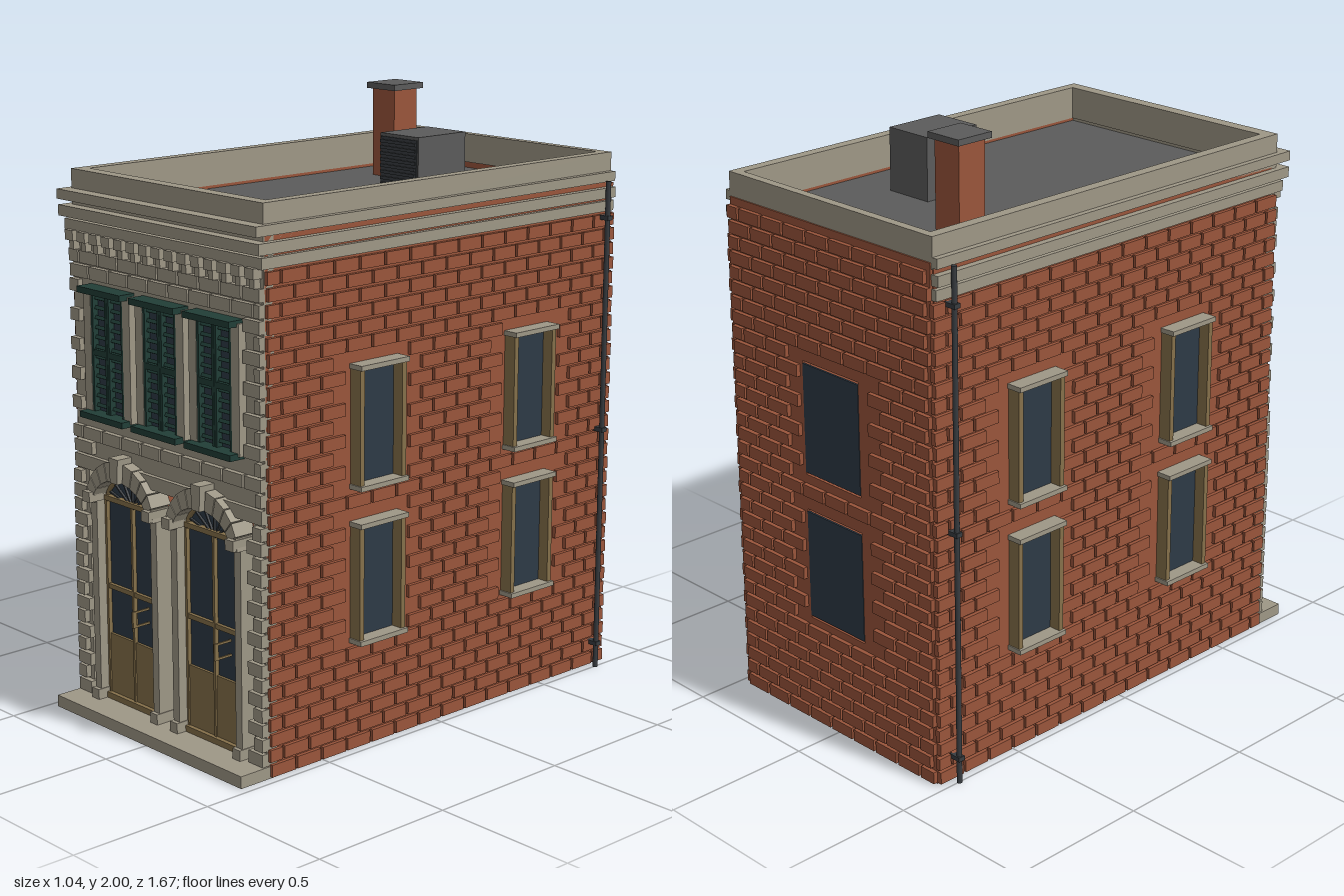
import * as THREE from 'three';
import { mergeGeometries } from 'three/addons/utils/BufferGeometryUtils.js';

const mat = (name, color, side = THREE.FrontSide) => {
  const m = new THREE.MeshStandardMaterial({ color, side });
  m.name = name;
  return m;
};

// Box geometry from minimum and maximum corners
const box = (x0, x1, y0, y1, z0, z1) =>
  new THREE.BoxGeometry(x1 - x0, y1 - y0, z1 - z0)
    .translate((x0 + x1) / 2, (y0 + y1) / 2, (z0 + z1) / 2);

// Running-bond blocks on the XY plane, leaving out those that touch a hole [x0,x1,y0,y1]
function layBlocks(x0, x1, y0, y1, length, row, gap, depth, holes = []) {
  const parts = [];
  const rows = Math.round((y1 - y0) / row);
  for (let r = 0; r < rows; r++) {
    const b = y0 + r * row + gap / 2, t = b + row - gap;
    for (let x = x0 - (r % 2) * length / 2; x < x1 - 0.01; x += length) {
      const l = Math.max(x0, x + gap / 2), e = Math.min(x1, x + length - gap / 2);
      if (e - l < 0.015) continue;
      if (holes.some(h => l < h[1] && e > h[0] && b < h[3] && t > h[2])) continue;
      parts.push(box(l, e, b, t, -0.004, depth));
    }
  }
  return mergeGeometries(parts);
}

export function createModel() {
  const M = {
    brick: mat('brick red', 0x9a553b),
    stone: mat('pale stone', 0x9e9786),
    roof: mat('roof grey', 0x5b5b5b),
    glass: mat('dark glass', 0x2d3a46, THREE.DoubleSide),
    wood: mat('tan wood', 0x85704a),
    green: mat('shutter green', 0x213e37),
    iron: mat('dark iron', 0x383c40),
  };
  const root = new THREE.Group();
  const add = (name, geos, material, parent = root) => {
    const m = new THREE.Mesh(Array.isArray(geos) ? mergeGeometries(geos) : geos, material);
    m.name = name;
    parent.add(m);
    return m;
  };

  // Floor slab and front step
  add('floor', box(-0.46, 0.46, 0, 0.03, -0.81, 0.72), M.stone);
  add('frontStep', box(-0.47, 0.47, 0, 0.04, 0.7, 0.84), M.stone);

  // Side walls, bricks, framed windows and drainpipes
  const centres = [0.28, -0.41], sills = [0.37, 0.875];
  for (const s of [1, -1]) {
    const side = s > 0 ? 'right' : 'left';
    const span = (a, b, ...rest) => s > 0 ? box(a, b, ...rest) : box(-b, -a, ...rest);
    add(side + 'Wall', span(0.43, 0.465, 0, 1.7, -0.81, 0.725), M.brick);
    const holes = [];
    const glass = [], jambs = [], ledges = [];
    for (const z of centres) for (const y of sills) {
      const u = -s * z;
      holes.push([u - 0.12, u + 0.12, y - 0.01, y + 0.39]);
      glass.push(span(0.464, 0.47, y, y + 0.38, z - 0.095, z + 0.095));
      for (const d of [-1, 1])
        jambs.push(span(0.46, 0.51, y, y + 0.38, z + d * 0.09 - 0.009, z + d * 0.09 + 0.009));
      ledges.push(span(0.46, 0.52, y - 0.01, y + 0.006, z - 0.103, z + 0.103),
        span(0.46, 0.52, y + 0.374, y + 0.39, z - 0.103, z + 0.103));
    }
    const u0 = s > 0 ? -0.725 : -0.825, u1 = s > 0 ? 0.825 : 0.725;
    const bricks = layBlocks(u0, u1, 0, 1.6, 0.107, 0.05, 0.01, 0.013, holes)
      .rotateY(s * Math.PI / 2).translate(s * 0.465, 0, 0);
    add(side + 'Bricks', bricks, M.brick);
    add(side + 'Glass', glass, M.glass);
    add(side + 'WindowJambs', jambs, M.wood);
    add(side + 'SillsAndLintels', ledges, M.stone);

    const pipe = [new THREE.CylinderGeometry(0.009, 0.009, 1.71, 12).translate(s * 0.501, 0.855, -0.763)];
    for (const y of [0.08, 0.85, 1.58]) pipe.push(span(0.47, 0.513, y, y + 0.015, -0.775, -0.751));
    add(side + 'Drainpipe', pipe, M.iron);
  }

  // Back wall with two plain windows
  const back = new THREE.Shape([[-0.46, 0], [0.46, 0], [0.46, 1.72], [-0.46, 1.72]].map(p => new THREE.Vector2(...p)));
  const backHoles = sills.map(y => [-0.13, 0.13, y, y + 0.385]);
  for (const [a, b, c, d] of backHoles)
    back.holes.push(new THREE.Path([[a, c], [a, d], [b, d], [b, c]].map(p => new THREE.Vector2(...p))));
  add('backWall', new THREE.ExtrudeGeometry(back, { depth: 0.03, bevelEnabled: false }).translate(0, 0, -0.82), M.brick);
  add('backBricks', layBlocks(-0.46, 0.46, 0, 1.7, 0.107, 0.05, 0.01, 0.015,
    backHoles.map(h => [h[0] - 0.01, h[1] + 0.01, h[2] - 0.01, h[3] + 0.01]))
    .rotateY(Math.PI).translate(0, 0, -0.82), M.brick);
  add('backGlass', backHoles.map(h => box(-0.13, 0.13, h[2] + 0.008, h[3] - 0.008, -0.822, -0.815)), M.glass);

  // Upper front wall and its stone blocks
  add('frontWall', box(-0.465, 0.465, 0.815, 1.7, 0.69, 0.73), M.stone);
  const bays = [-0.262, 0.003, 0.265];
  add('frontBlocks', layBlocks(-0.465, 0.465, 0.87, 1.55, 0.1, 0.0485, 0.008, 0.018, [
    [-0.385, 0.385, 1.0, 1.445], [-0.36, -0.05, 0.8, 0.9], [0.05, 0.36, 0.8, 0.9],
  ]).translate(0, 0, 0.73), M.stone);
  add('beltCourse', box(-0.465, 0.465, 0.82, 0.865, 0.72, 0.745), M.stone);

  // Ground floor corner piers with alternating quoins
  const piers = [];
  for (const s of [1, -1]) {
    piers.push(box(s * 0.437 - 0.027, s * 0.437 + 0.027, 0.03, 0.82, 0.68, 0.73));
    for (let i = 0; i < 16; i++) {
      const w = i % 2 ? 0.02 : 0.033;
      const cx = s * (0.467 - w), y = 0.042 + i * 0.0485;
      piers.push(box(cx - w, cx + w, y, y + 0.041, 0.69, 0.75));
    }
  }
  add('cornerQuoins', piers, M.stone);

  // Shuttered upper windows
  for (const x of bays) {
    const g = new THREE.Group();
    g.name = 'shutteredWindow';
    g.position.x = x;
    root.add(g);
    add('windowGlass', box(-0.082, 0.082, 1.02, 1.43, 0.731, 0.736), M.glass, g);
    add('windowJambs', [-1, 1].map(d => box(d * 0.1 - 0.018, d * 0.1 + 0.018, 1.02, 1.43, 0.725, 0.758)), M.stone, g);
    const green = [box(-0.11, 0.11, 1.42, 1.44, 0.73, 0.79), box(-0.11, 0.11, 1.01, 1.03, 0.73, 0.79)];
    for (const d of [-1, 1]) {
      for (const e of [0.006, 0.076]) green.push(box(d * e - 0.005, d * e + 0.005, 1.03, 1.42, 0.735, 0.757));
      green.push(box(d * 0.041 - 0.036, d * 0.041 + 0.036, 1.215, 1.235, 0.735, 0.756));
      for (let i = 0; i < 12; i++)
        green.push(new THREE.BoxGeometry(0.062, 0.012, 0.005).rotateX(-0.5)
          .translate(d * 0.041, 1.05 + i * 0.032, 0.745));
    }
    add('shutters', green, M.green, g);
  }

  // Arched doorways
  const RX = 0.14, RY = 0.1, SPRING = 0.72;
  const onArch = (a, rx, ry) => new THREE.Vector2(Math.cos(a) * rx, SPRING + Math.sin(a) * ry);
  for (const x of [-0.205, 0.205]) {
    const g = new THREE.Group();
    g.name = 'archedDoorway';
    g.position.x = x;
    root.add(g);

    // Pilasters, imposts and voussoirs
    const stones = [];
    for (const d of [-1, 1]) {
      stones.push(box(d * 0.154 - 0.015, d * 0.154 + 0.015, 0.04, 0.73, 0.69, 0.752));
      stones.push(box(d * 0.154 - 0.019, d * 0.154 + 0.019, 0.725, 0.76, 0.69, 0.785));
      stones.push(box(d * 0.154 - 0.018, d * 0.154 + 0.018, 0.04, 0.075, 0.69, 0.765));
    }
    add('pilasters', stones, M.stone, g);
    const ring = [], N = 11;
    for (let i = 0; i < N; i++) {
      const a = Math.PI * (i + 0.04) / N, b = Math.PI * (i + 0.96) / N;
      const key = i === 5 ? 0.018 : 0;
      const s = new THREE.Shape([onArch(a, RX, RY), onArch(a, 0.175, 0.165 + key),
        onArch(b, 0.175, 0.165 + key), onArch(b, RX, RY)]);
      ring.push(new THREE.ExtrudeGeometry(s, { depth: 0.08 + key, bevelEnabled: false }).translate(0, 0, 0.69));
    }
    add('archStones', ring, M.stone, g);

    // Fanlight
    const fan = new THREE.Shape(Array.from({ length: 17 }, (_, i) => onArch(Math.PI * i / 16, RX, RY)));
    add('fanlightGlass', new THREE.ShapeGeometry(fan).translate(0, 0, 0.705), M.glass, g);
    const spokes = [];
    for (let i = 1; i < 8; i++) {
      const p = onArch(Math.PI * i / 8, RX, RY), dx = p.x, dy = p.y - SPRING;
      spokes.push(new THREE.BoxGeometry(Math.hypot(dx, dy), 0.005, 0.008)
        .rotateZ(Math.atan2(dy, dx)).translate(dx / 2, SPRING + dy / 2, 0.712));
    }
    add('fanlightSpokes', spokes, M.iron, g);
    const curve = new THREE.CatmullRomCurve3(Array.from({ length: 13 }, (_, i) => {
      const p = onArch(Math.PI * i / 12, RX - 0.006, RY - 0.006);
      return new THREE.Vector3(p.x, p.y, 0.712);
    }));
    add('fanlightRim', new THREE.TubeGeometry(curve, 24, 0.008, 6), M.wood, g);

    // Double door
    add('doorGlass', box(-0.138, 0.138, 0.26, 0.73, 0.7, 0.706), M.glass, g);
    const wood = [box(-0.138, 0.138, 0.06, 0.265, 0.698, 0.715), box(-0.138, 0.138, 0.422, 0.438, 0.7, 0.718),
      box(-0.14, 0.14, 0.725, 0.742, 0.698, 0.725), box(-0.005, 0.005, 0.06, 0.73, 0.7, 0.72),
      box(-0.138, 0.138, 0.04, 0.06, 0.698, 0.73)];
    for (const d of [-1, 1]) wood.push(box(d * 0.135 - 0.005, d * 0.135 + 0.005, 0.04, 0.73, 0.698, 0.72));
    add('doorFrames', wood, M.wood, g);
    add('doorHandle', [box(0.062, 0.07, 0.345, 0.4, 0.76, 0.775), box(0.063, 0.069, 0.345, 0.352, 0.7, 0.765),
      box(0.063, 0.069, 0.393, 0.4, 0.7, 0.765)], M.wood, g);
  }

  // Cornice bands along front and sides, with brackets below
  const bands = [[1.605, 1.64, 0.48, 0.75], [1.65, 1.685, 0.488, 0.768], [1.705, 1.737, 0.485, 0.775]];
  bands.forEach(([y0, y1, w, z]) => add('corniceBand', [
    box(-w, w, y0, y1, 0.7, z), box(-w, -0.44, y0, y1, -0.815, 0.71), box(0.44, w, y0, y1, -0.815, 0.71)], M.stone));
  const brackets = [];
  for (let i = 0; i < 15; i++) {
    const x = -0.44 + i * 0.88 / 14;
    brackets.push(box(x - 0.02, x + 0.02, 1.575, 1.608, 0.72, 0.765), box(x - 0.011, x + 0.011, 1.545, 1.58, 0.72, 0.755));
  }
  add('corniceBrackets', brackets, M.stone);

  // Parapet and flat roof
  add('parapet', [
    box(-0.465, 0.465, 1.69, 1.8, 0.685, 0.73), box(-0.465, 0.465, 1.7, 1.8, -0.815, -0.785),
    box(-0.465, -0.427, 1.69, 1.8, -0.79, 0.69), box(0.427, 0.465, 1.69, 1.8, -0.79, 0.69)], M.stone);
  add('roof', box(-0.44, 0.44, 1.65, 1.68, -0.8, 0.7), M.roof);

  // Chimney
  add('chimney', box(-0.285, -0.18, 1.67, 1.985, -0.537, -0.43), M.brick);
  add('chimneyCap', box(-0.3, -0.165, 1.98, 2, -0.552, -0.415), M.roof);

  // Rooftop vent unit with louvres
  add('ventUnit', box(0.075, 0.25, 1.67, 1.89, -0.335, -0.12), M.roof);
  const louvres = [box(0.08, 0.245, 1.695, 1.88, -0.121, -0.116)];
  for (let i = 0; i < 9; i++) louvres.push(box(0.083, 0.242, 1.7 + i * 0.02, 1.71 + i * 0.02, -0.118, -0.11));
  add('ventLouvres', louvres, M.iron);

  return root;
}
